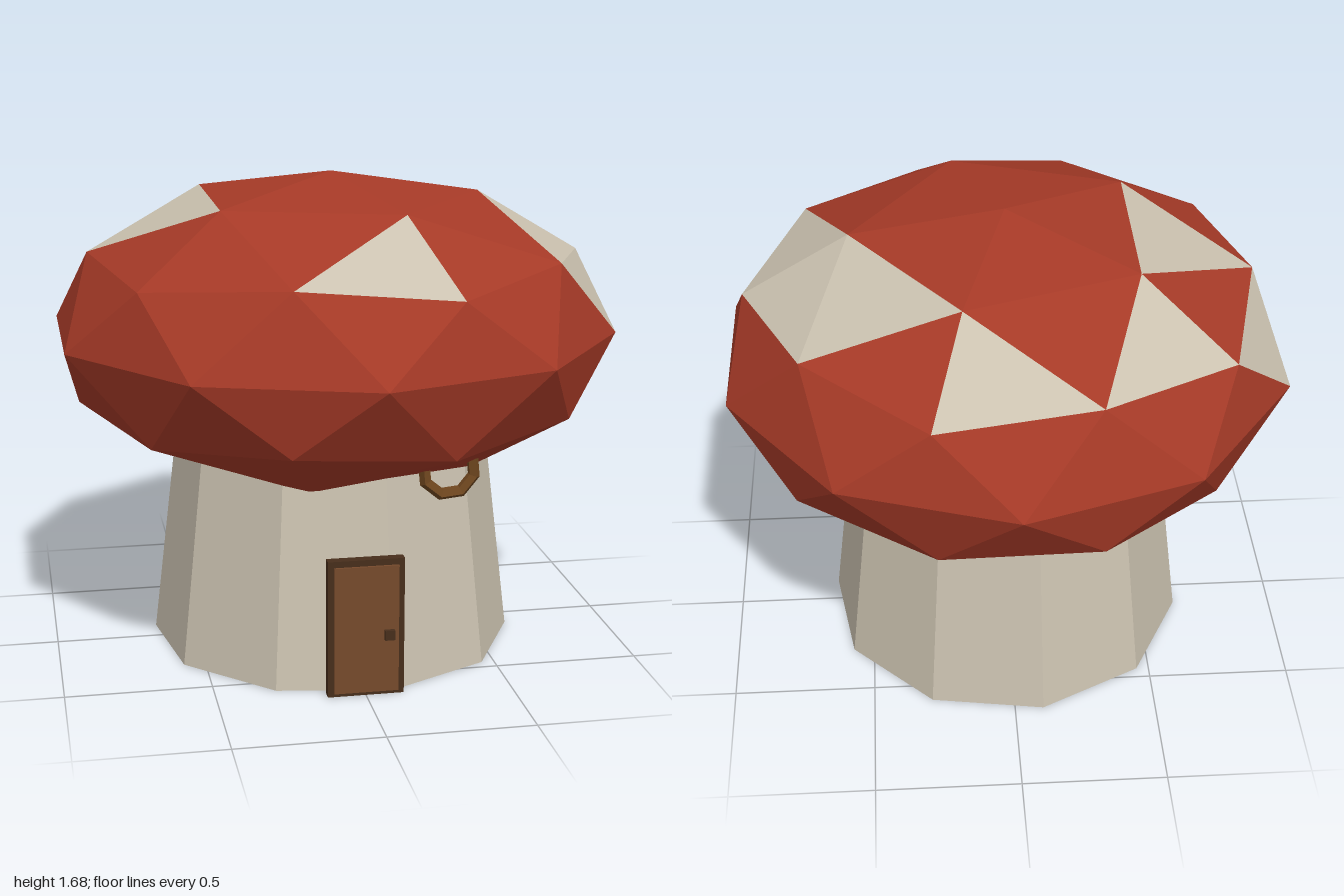
import * as THREE from 'three';

const mat = (name, color, flatShading = true) => {
  const m = new THREE.MeshStandardMaterial({ color, flatShading });
  m.name = name;
  return m;
};

export function createModel() {
  const red = mat('capRed', 0xa63a27);
  const cream = mat('cream', 0xcbc2b0);
  const wood = mat('doorWood', 0x764a2c);
  const darkWood = mat('darkWood', 0x472e1b);
  const ringBrown = mat('ringBrown', 0x70471f);

  const group = new THREE.Group();
  group.name = 'mushroomHouse';
  const add = (name, geometry, material, x = 0, y = 0, z = 0) => {
    const mesh = new THREE.Mesh(geometry, material);
    mesh.name = name;
    mesh.position.set(x, y, z);
    group.add(mesh);
    return mesh;
  };

  // Cap: flattened faceted sphere, five sectors of eight faces, mirrored through its centre
  const point = (deg, r, y) => {
    const a = THREE.MathUtils.degToRad(deg);
    return [r * Math.cos(a), y * 0.545, r * Math.sin(a)];
  };
  const spotFaces = new Set(['0-2', '0-4', '1-2', '2-1', '2-6', '3-2', '3-3', '4-1', '4-3']);
  const redPos = [], spotPos = [];
  for (let k = 0; k < 5; k++) {
    const a = 72 * k;
    const T = point(0, 0, 1);
    const U = point(a, 0.526, 0.851), U2 = point(a + 72, 0.526, 0.851);
    const V = point(a, 0.894, 0.447), V2 = point(a + 72, 0.894, 0.447);
    const M = point(a + 36, 0.851, 0.526);
    const E0 = point(a - 18, 1, 0), E1 = point(a + 18, 1, 0), E2 = point(a + 54, 1, 0);
    const faces = [
      [T, U2, U], [U, U2, M], [U, M, V], [U2, V2, M],
      [V, M, E1], [M, E2, E1], [M, V2, E2], [V, E1, E0],
    ];
    faces.forEach(([p, q, r], i) => {
      (spotFaces.has(`${k}-${i}`) ? spotPos : redPos).push(...p, ...q, ...r);
      // opposite face of the underside
      for (const v of [p, r, q]) redPos.push(-v[0], -v[1], -v[2]);
    });
  }
  const facets = (pos) => {
    const g = new THREE.BufferGeometry();
    g.setAttribute('position', new THREE.Float32BufferAttribute(pos, 3));
    g.computeVertexNormals();
    return g;
  };
  add('cap', facets(redPos), red, 0, 1.135, 0);
  add('capSpots', facets(spotPos), cream, 0, 1.135, 0);

  // Tapered ten-sided stem, running up into the cap
  const stem = new THREE.CylinderGeometry(0.535, 0.645, 0.92, 10, 1, false, Math.PI / 20);
  add('stem', stem, cream, 0, 0.46, 0);

  // Door: frame, raised panel and knob
  add('doorFrame', new THREE.BoxGeometry(0.26, 0.48, 0.035), darkWood, 0, 0.24, 0.645);
  add('doorPanel', new THREE.BoxGeometry(0.22, 0.445, 0.009), wood, 0, 0.236, 0.667);
  add('doorKnob', new THREE.BoxGeometry(0.034, 0.034, 0.016), darkWood, 0.077, 0.217, 0.679);

  // Ring hanging under the cap
  const ring = add('hangingRing', new THREE.TorusGeometry(0.09, 0.022, 5, 8), ringBrown, 0.305, 0.742, 0.54);
  ring.rotation.z = Math.PI / 8 + 0.1;

  return group;
}
